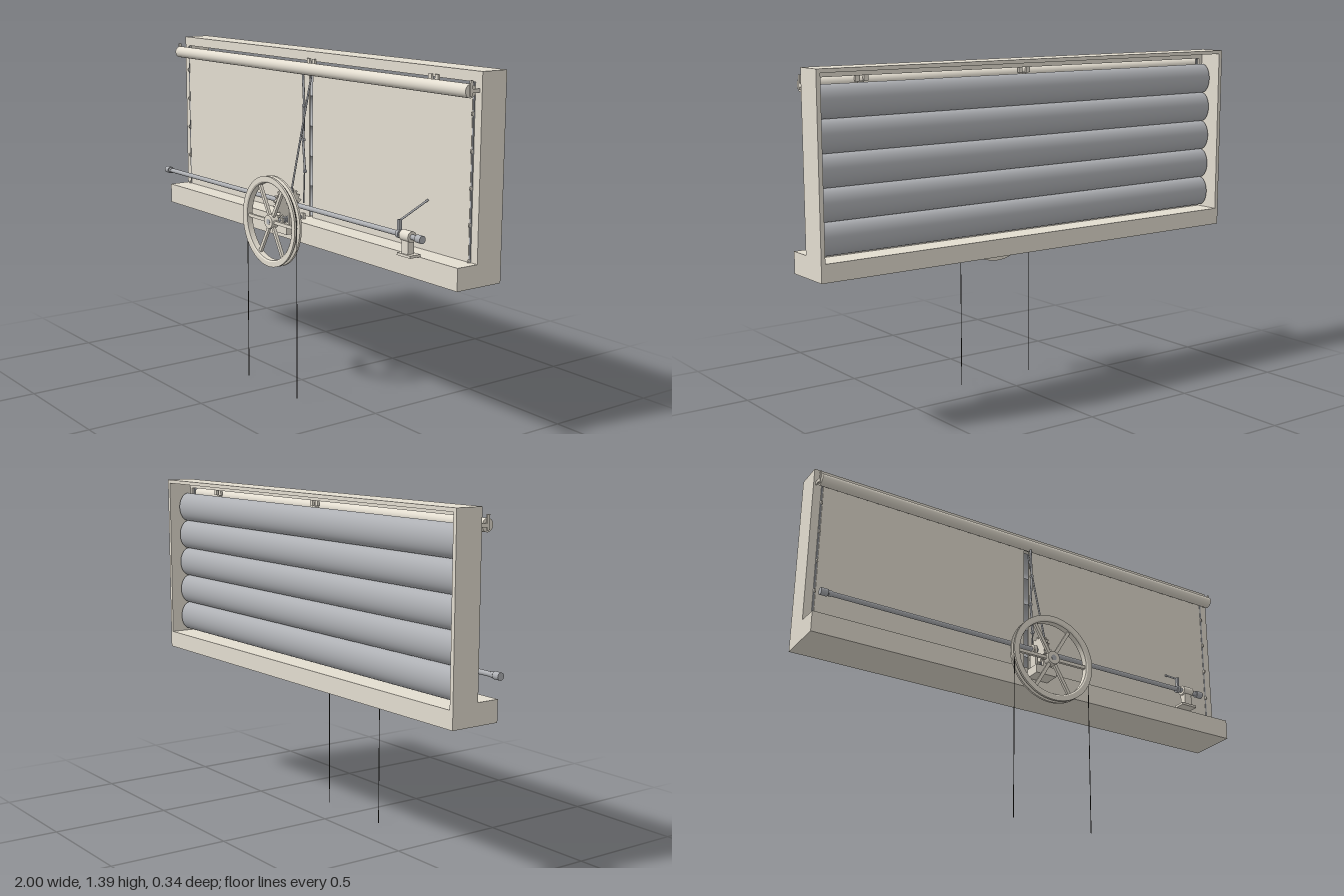
import * as THREE from 'three';
import { toCreasedNormals } from 'three/addons/utils/BufferGeometryUtils.js';

const mat = (name, color, side = THREE.FrontSide) => {
  const m = new THREE.MeshStandardMaterial({ color, side });
  m.name = name;
  return m;
};

export function createModel() {
  const stone = mat('warm grey', 0xe3ddd0);
  const slatGrey = mat('slat grey', 0xaeb0b4, THREE.DoubleSide);
  const steel = mat('steel grey', 0xaeb0b4);
  const ropeMat = mat('dark rope', 0x34322e);
  const root = new THREE.Group();
  root.name = 'louvreShutter';

  const add = (name, geo, material, x = 0, y = 0, z = 0, parent = root) => {
    const m = new THREE.Mesh(geo, material);
    m.name = name;
    m.position.set(x, y, z);
    parent.add(m);
    return m;
  };
  const box = (name, w, h, d, x, y, z, material = stone, parent = root) =>
    add(name, new THREE.BoxGeometry(w, h, d), material, x, y, z, parent);
  const cylX = (name, r, len, x, y, z, material = stone, seg = 20) =>
    add(name, new THREE.CylinderGeometry(r, r, len, seg).rotateZ(Math.PI / 2), material, x, y, z);
  const cylZ = (name, r, len, x, y, z, material = stone, parent = root) =>
    add(name, new THREE.CylinderGeometry(r, r, len, 24).rotateX(Math.PI / 2), material, x, y, z, parent);
  const rod = (name, a, b, r, material) => {
    const p = new THREE.Vector3(...a), q = new THREE.Vector3(...b);
    const dir = q.clone().sub(p);
    const m = add(name, new THREE.CylinderGeometry(r, r, dir.length(), 10), material);
    m.position.copy(p).add(q).multiplyScalar(0.5);
    m.quaternion.setFromUnitVectors(new THREE.Vector3(0, 1, 0), dir.normalize());
    return m;
  };

  // Hollow frame: deep outer ring open at the back, with a narrow front lip
  const ring = (name, hx, hy0, hy1, depth, z) => {
    const rect = (C, x, y0, y1) => {
      const s = new C();
      s.moveTo(-x, y0); s.lineTo(x, y0); s.lineTo(x, y1); s.lineTo(-x, y1); s.closePath();
      return s;
    };
    const shape = rect(THREE.Shape, 1, 0.614, 1.387);
    shape.holes.push(rect(THREE.Path, hx, hy0, hy1));
    add(name, new THREE.ExtrudeGeometry(shape, { depth, bevelEnabled: false }), stone, 0, 0, z);
  };
  ring('frameWalls', 0.983, 0.685, 1.372, 0.106, -0.168);
  ring('frameLip', 0.966, 0.7, 1.348, 0.01, -0.062);
  box('sill', 2, 0.086, 0.094, 0, 0.657, -0.005);

  // Five bulging slats
  const pitch = 0.126;
  for (let i = 0; i < 5; i++) {
    const g = new THREE.CylinderGeometry(1, 1, 1.93, 24, 1, false, Math.PI / 2, Math.PI);
    g.rotateZ(Math.PI / 2).scale(1, pitch / 2, 0.045);
    add('slat', g, slatGrey, 0, 0.695 + pitch * (i + 0.5), -0.085);
  }

  // Flat front panels either side of the linkage, with slim edge strips and pivots
  for (const s of [-1, 1]) {
    box('frontPanel', 0.947, 0.615, 0.006, s * 0.485, 1.0085, -0.05);
    box('edgeStrip', 0.006, 0.645, 0.006, s * 0.963, 1.023, -0.05, steel);
    for (let i = 0; i < 5; i++)
      cylX('slatPivot', 0.008, 0.006, s * 0.963, 0.704 + 0.133 * i, -0.047, stone, 12);
  }

  // Top roller, end plates and brackets
  cylX('topRoller', 0.025, 1.97, -0.002, 1.32, -0.014, stone, 28);
  for (const s of [-1, 1]) {
    box('rollerEndPlate', 0.006, 0.055, 0.012, s * 0.987 - 0.002, 1.33, -0.014);
    box('rollerArm', 0.006, 0.014, 0.04, s * 0.987 - 0.002, 1.32, -0.034);
  }
  for (const x of [0, 0.75]) {
    for (const s of [-1, 1])
      box('rollerBracket', 0.018, 0.032, 0.01, x + s * 0.018, 1.342, -0.05);
    box('rollerBracketArm', 0.02, 0.012, 0.03, x, 1.32, -0.038);
  }

  // Central jointed linkage hanging from the roller
  const joints = [[-0.003, 1.305], [0.004, 1.17], [-0.002, 1.03], [0.009, 0.9], [0.0, 0.765]];
  for (let i = 0; i < 4; i++) {
    const [a, b] = [joints[i], joints[i + 1]];
    rod('hangingLink', [a[0], a[1], -0.008], [b[0], b[1], -0.01], i < 3 ? 0.005 : 0.003, steel);
    if (i < 3) cylZ('linkJoint', 0.007, 0.012, b[0], b[1], -0.01, steel);
  }

  // Long drive shaft with end caps
  const sy = 0.776, sz = 0.068;
  cylX('driveShaft', 0.01, 1.8, -0.075, sy, sz, steel);
  cylX('shaftCap', 0.015, 0.03, -0.97, sy, sz, steel);
  cylX('shaftCollar', 0.012, 0.012, -0.945, sy, sz, steel);
  cylX('shaftCap', 0.015, 0.03, 0.825, sy, sz, steel);

  // Cranks and push rods driving the linkage
  for (const [x, end] of [[0.022, [0.006, 1.295, -0.045]], [0.71, [0.737, 0.894, -0.045]]]) {
    box('crankArm', 0.01, 0.06, 0.014, x, 0.8, sz, steel);
    cylX('crankHub', 0.016, 0.014, x, sy, sz, steel);
    rod('pushRod', [x, 0.825, sz], end, 0.004, steel);
  }

  // Side bearing
  box('bearingFoot', 0.075, 0.01, 0.05, 0.757, 0.705, 0.062);
  box('bearingPost', 0.035, 0.07, 0.03, 0.757, 0.742, 0.066);
  cylX('bearingSleeve', 0.021, 0.05, 0.757, sy, sz);

  // Central platform with bearing cheeks
  box('gearPlatform', 0.095, 0.037, 0.07, 0, 0.673, 0.076);
  for (const s of [-1, 1]) {
    box('gearCheek', 0.01, 0.09, 0.042, s * 0.034, 0.736, sz);
    cylX('gearBearing', 0.02, 0.016, s * 0.036, sy, sz);
  }

  // Toothed gear on the shaft
  const gear = new THREE.Shape();
  const teeth = 18;
  for (let i = 0; i < teeth; i++) {
    [[0, 0.054], [0.28, 0.065], [0.5, 0.065], [0.75, 0.054]].forEach(([o, r], k) => {
      const a = ((i + o) / teeth) * Math.PI * 2;
      const x = Math.cos(a) * r, y = Math.sin(a) * r;
      if (i === 0 && k === 0) gear.moveTo(x, y); else gear.lineTo(x, y);
    });
  }
  gear.closePath();
  const gearGeo = new THREE.ExtrudeGeometry(gear, { depth: 0.02, bevelEnabled: false });
  add('gear', gearGeo.translate(0, 0, -0.01).rotateY(Math.PI / 2), stone, -0.008, sy - 0.003, sz);

  // Grooved hand wheel with six spokes, on a worm shaft
  const wheel = new THREE.Group();
  wheel.name = 'ropeWheel';
  wheel.position.set(0, 0.708, 0.151);
  root.add(wheel);
  const rim = [[0.16, 0.013], [0.16, -0.013], [0.166, -0.017], [0.187, -0.017], [0.187, -0.008],
    [0.176, -0.003], [0.176, 0.003], [0.187, 0.008], [0.187, 0.017], [0.166, 0.017], [0.16, 0.013]]
    .map(([r, h]) => new THREE.Vector2(r, h));
  const rimGeo = new THREE.LatheGeometry(rim, 64).rotateX(Math.PI / 2);
  add('wheelRim', toCreasedNormals(rimGeo, 0.4), stone, 0, 0, 0, wheel);
  for (let i = 0; i < 6; i++) {
    const a = (i * Math.PI) / 3;
    const spoke = box('spoke', 0.145, 0.014, 0.012, Math.cos(a) * 0.092, Math.sin(a) * 0.092, 0, stone, wheel);
    spoke.rotation.z = a;
  }
  cylZ('wheelHub', 0.028, 0.034, 0, 0, 0, stone, wheel);
  cylZ('wheelAxleEnd', 0.012, 0.036, 0, 0, 0, steel, wheel);
  cylZ('wormShaft', 0.008, 0.15, 0, 0.708, 0.08, steel);
  for (let i = 0; i < 6; i++)
    add('wormThread', new THREE.TorusGeometry(0.01, 0.004, 6, 16), steel, 0, 0.708, 0.043 + i * 0.01);
  box('wormBearing', 0.03, 0.03, 0.012, 0, 0.703, 0.105);
  box('wormEndBlock', 0.02, 0.024, 0.012, 0, 0.712, -0.006);

  // Pull rope: over the wheel and hanging both sides
  add('ropeLoop', new THREE.TorusGeometry(0.177, 0.0016, 6, 48, Math.PI), ropeMat, 0, 0.708, 0.151);
  for (const s of [-1, 1])
    rod('hangingRope', [s * 0.177, 0, 0.151], [s * 0.177, 0.708, 0.151], 0.0016, ropeMat);

  return root;
}
